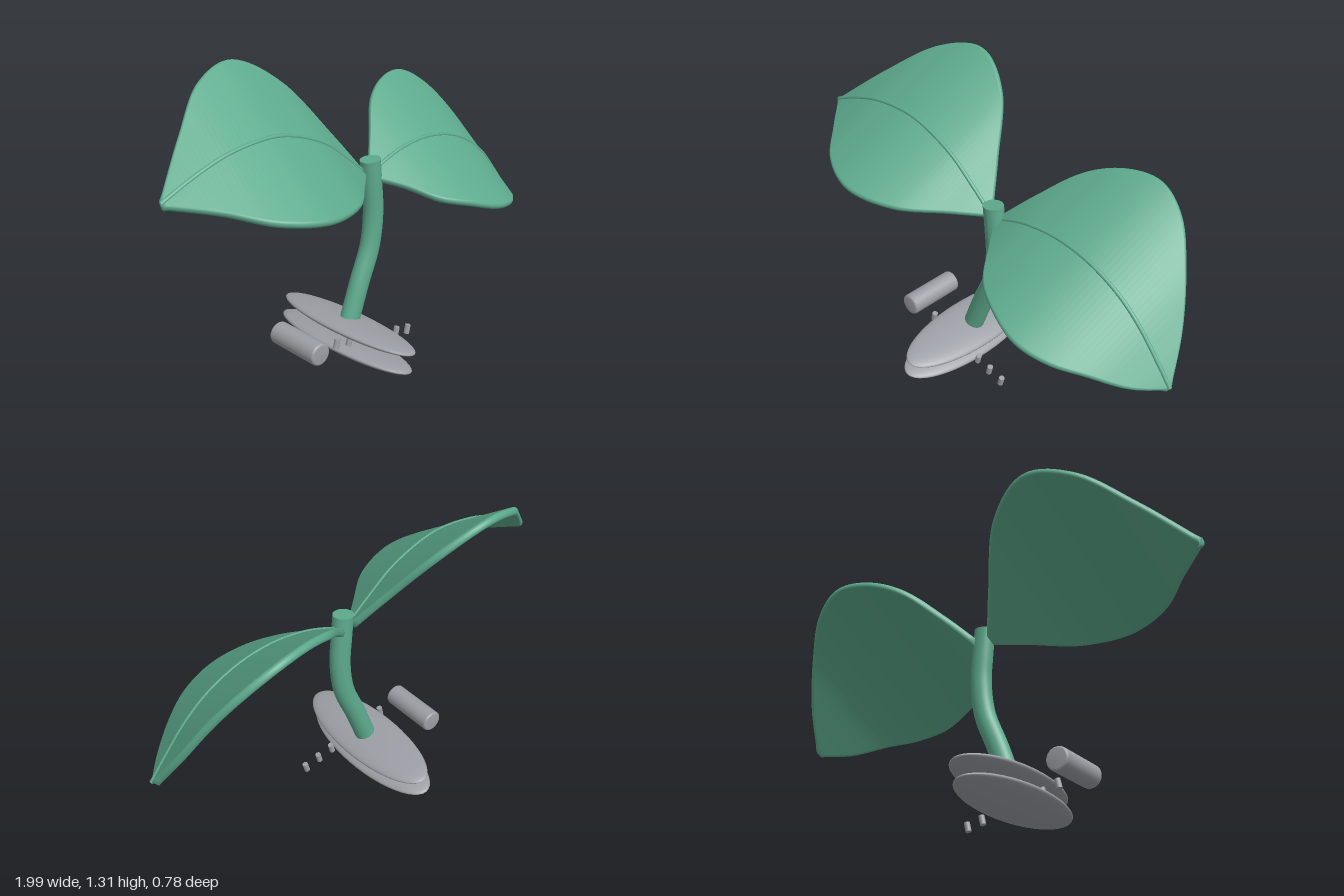
import * as THREE from 'three';

const green = new THREE.MeshStandardMaterial({ color: 0x5daa8d });
green.name = 'leafGreen';
const grey = new THREE.MeshStandardMaterial({ color: 0x9b9ea4 });
grey.name = 'stoneGrey';

const TILT = -0.24; // lean of the base parts
const HALF = 0.017; // half thickness of a leaf
const ACROSS = new THREE.Vector3(-0.16, -0.67, 1); // leaf slope per unit of z

function add(parent, name, geometry, material) {
  const mesh = new THREE.Mesh(geometry, material);
  mesh.name = name;
  parent.add(mesh);
  return mesh;
}

// Each leaf point is [x, y, half width], ordered towards +x
function makeLeaf(name, points) {
  const leaf = new THREE.Group();
  leaf.name = name;
  const curve = new THREE.CatmullRomCurve3(points.map((p) => new THREE.Vector3(...p)));
  const steps = 56, arc = 8, ring = 2 * (arc + 1);
  const pos = [], index = [], rib = [];
  const side = ACROSS.clone().normalize();
  for (let i = 0; i <= steps; i++) {
    const p = curve.getPoint(i / steps);
    const t = curve.getTangent(i / steps).setZ(0).normalize();
    const up = side.clone().cross(t).normalize();
    const center = new THREE.Vector3(p.x, p.y, -0.013);
    const core = Math.max(p.z - HALF * 0.8, 0.002); // flat part between rounded rims
    for (let j = 0; j < ring; j++) {
      const back = j > arc;
      const a = -Math.PI / 2 + (Math.PI * (back ? j - 1 : j)) / arc;
      const v = center.clone().addScaledVector(ACROSS, back ? -core : core);
      v.addScaledVector(side, HALF * Math.cos(a)).addScaledVector(up, HALF * Math.sin(a));
      pos.push(v.x, v.y, v.z);
      if (i < steps) {
        const k = (j + 1) % ring, r = i * ring, s = r + ring;
        index.push(r + j, s + j, s + k, r + j, s + k, r + k);
      }
    }
    rib.push(center.addScaledVector(up, HALF * 0.9));
  }
  // Close both ends
  for (let j = 1; j < ring - 1; j++) {
    const e = steps * ring;
    index.push(0, j, j + 1, e, e + j + 1, e + j);
  }
  const blade = new THREE.BufferGeometry();
  blade.setAttribute('position', new THREE.Float32BufferAttribute(pos, 3));
  blade.setIndex(index);
  blade.computeVertexNormals();
  add(leaf, 'blade', blade, green);
  add(leaf, 'midrib', new THREE.TubeGeometry(new THREE.CatmullRomCurve3(rib), 56, 0.009, 10), green);
  return leaf;
}

// Capped cylinder bent along a curve in the xy plane
function makeStem() {
  const curve = new THREE.CatmullRomCurve3(
    [[-0.097, 0.13], [-0.03, 0.31], [0.035, 0.47], [0.055, 0.62], [0.047, 0.75], [0.036, 0.868]]
      .map(([x, y]) => new THREE.Vector3(x, y, 0)));
  const geometry = new THREE.CylinderGeometry(0.047, 0.047, 1, 28, 32);
  const a = geometry.attributes.position;
  for (let i = 0; i < a.count; i++) {
    const t = THREE.MathUtils.clamp(a.getY(i) + 0.5, 0, 1);
    const p = curve.getPoint(t), d = curve.getTangent(t);
    const x = a.getX(i);
    a.setXYZ(i, p.x + d.y * x, p.y - d.x * x, a.getZ(i) * 0.9);
  }
  geometry.computeVertexNormals();
  return geometry;
}

export function createModel() {
  const model = new THREE.Group();
  model.name = 'sprout';

  add(model, 'stem', makeStem(), green);
  model.add(makeLeaf('rightLeaf', [
    [-0.99, 0.95, 0.012], [-0.82, 1.02, 0.155], [-0.65, 1.065, 0.29], [-0.45, 1.07, 0.348],
    [-0.25, 1.0, 0.28], [-0.1, 0.89, 0.13], [0, 0.805, 0.02]]));
  model.add(makeLeaf('leftLeaf', [
    [0.06, 0.79, 0.03], [0.15, 0.83, 0.13], [0.26, 0.86, 0.25], [0.4, 0.87, 0.32],
    [0.545, 0.845, 0.35], [0.68, 0.785, 0.315], [0.79, 0.7, 0.235], [0.9, 0.575, 0.125],
    [0.975, 0.48, 0.012]]));

  // Two flattened discs under the stem
  [['upperDisc', -0.1, 0.135], ['lowerDisc', -0.12, 0.055]].forEach(([name, x, y]) => {
    const disc = add(model, name, new THREE.SphereGeometry(1, 48, 24), grey);
    disc.scale.set(0.13, 0.031, 0.39);
    disc.position.set(x, y, -0.003);
    disc.rotation.z = TILT;
  });

  // Row of small pegs sloping down to the left side
  for (let i = 0; i < 7; i++) {
    const peg = add(model, 'peg' + (i + 1), new THREE.CylinderGeometry(0.013, 0.013, 0.042, 16), grey);
    peg.position.set(-0.257 + i * 0.0737, 0.136 - i * 0.018, 0.094);
    peg.rotation.z = TILT;
  }

  // Loose roller lying along z, with softened ends
  const profile = [[0, -0.137], [0.04, -0.136], [0.047, -0.133], [0.05, -0.126],
    [0.05, 0.126], [0.047, 0.133], [0.04, 0.136], [0, 0.137]]
    .map(([r, y]) => new THREE.Vector2(r, y));
  const roller = add(model, 'roller', new THREE.LatheGeometry(profile, 32), grey);
  roller.rotation.x = Math.PI / 2;
  roller.position.set(-0.385, 0.15, 0);

  return model;
}
